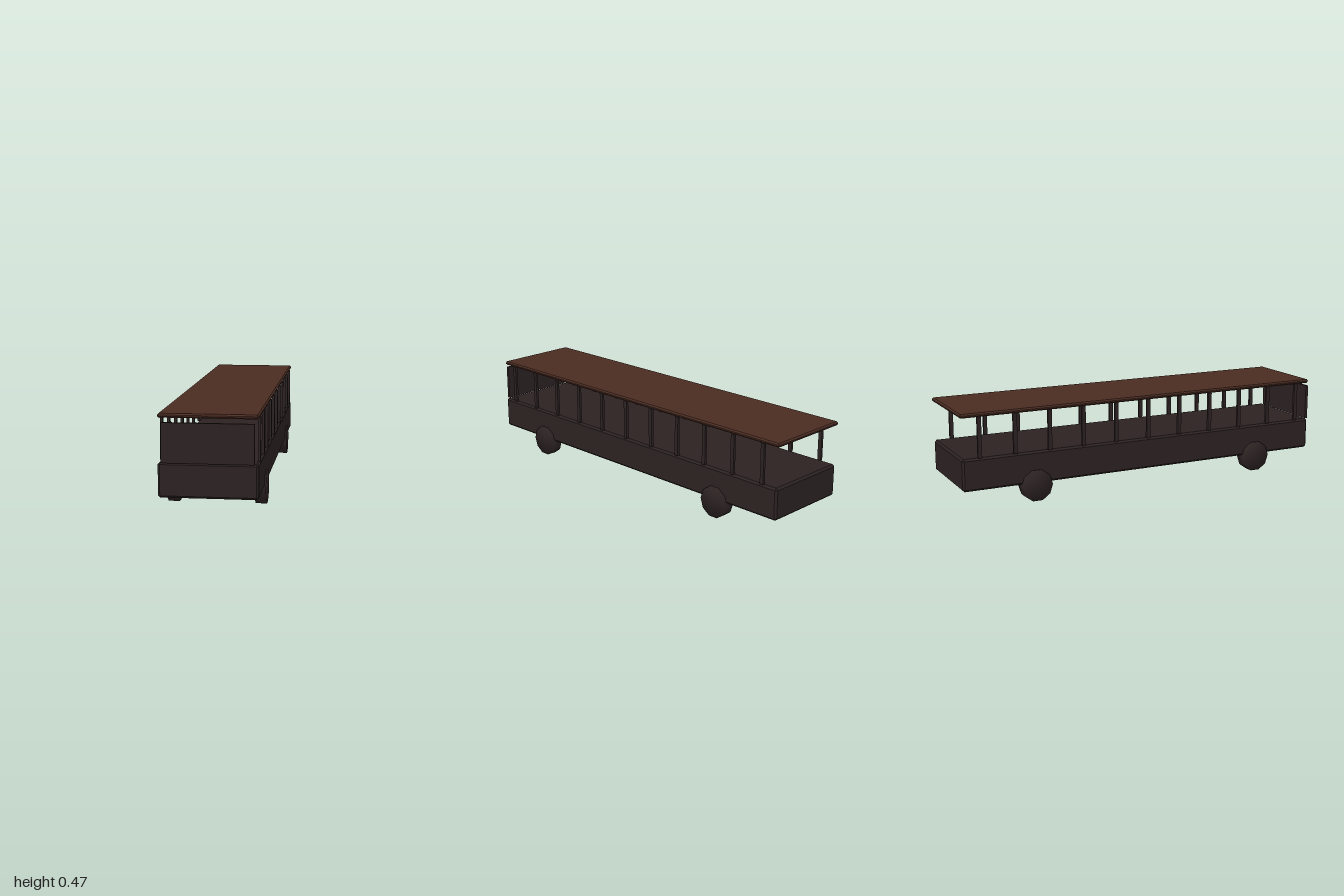
import * as THREE from 'three';
import { mergeVertices } from 'three/addons/utils/BufferGeometryUtils.js';
import { ConvexGeometry } from 'three/addons/geometries/ConvexGeometry.js';

// Box with every edge chamfered by b, given as min/max ranges
function chamferBox([x0, x1], [y0, y1], [z0, z1], b) {
  const h = [(x1 - x0) / 2, (y1 - y0) / 2, (z1 - z0) / 2];
  const points = [];
  for (const sx of [-1, 1]) for (const sy of [-1, 1]) for (const sz of [-1, 1]) {
    for (let axis = 0; axis < 3; axis++) {
      const d = h.map((v, i) => (i === axis ? v : v - b));
      points.push(new THREE.Vector3(sx * d[0], sy * d[1], sz * d[2]));
    }
  }
  return new ConvexGeometry(points).translate((x0 + x1) / 2, (y0 + y1) / 2, (z0 + z1) / 2);
}

// Ten-sided wheel whose normals are smoothed across rim and caps
function wheelGeometry(radius, width) {
  const g = new THREE.CylinderGeometry(radius, radius, width, 10).rotateZ(Math.PI / 2);
  g.deleteAttribute('normal');
  g.deleteAttribute('uv');
  const smooth = mergeVertices(g);
  smooth.computeVertexNormals();
  return smooth;
}

export function createModel() {
  const model = new THREE.Group();
  model.name = 'bus';
  const dark = new THREE.MeshStandardMaterial({ name: 'dark brown grey', color: 0x2c2222 });
  const brown = new THREE.MeshStandardMaterial({ name: 'roof brown', color: 0x4a2c22 });

  const add = (name, geometry, material, x = 0, y = 0, z = 0) => {
    const mesh = new THREE.Mesh(geometry, material);
    mesh.name = name;
    mesh.position.set(x, y, z);
    model.add(mesh);
  };

  // Lower body and roof
  add('body', chamferBox([-0.227, 0.227], [0.088, 0.25], [-0.995, 0.99], 0.01), dark);
  add('roof', chamferBox([-0.227, 0.227], [0.45, 0.47], [-1, 0.988], 0.007), brown);

  // Front panel
  add('windshield', new THREE.BoxGeometry(0.418, 0.182, 0.015), dark, 0, 0.34, 0.9925);

  // Window pillars and wheels on both sides
  const pillar = new THREE.BoxGeometry(0.013, 0.202, 0.02);
  const wheel = wheelGeometry(0.0815, 0.054);
  for (const [side, s] of [['left', 1], ['right', -1]]) {
    for (let i = -5; i <= 5; i++) add(`${side}Pillar${i + 6}`, pillar, dark, s * 0.221, 0.35, i * 0.181);
    add(`${side}FrontWheel`, wheel, dark, s * 0.208, 0.0775, 0.648);
    add(`${side}RearWheel`, wheel, dark, s * 0.208, 0.0775, -0.618);
  }
  return model;
}
